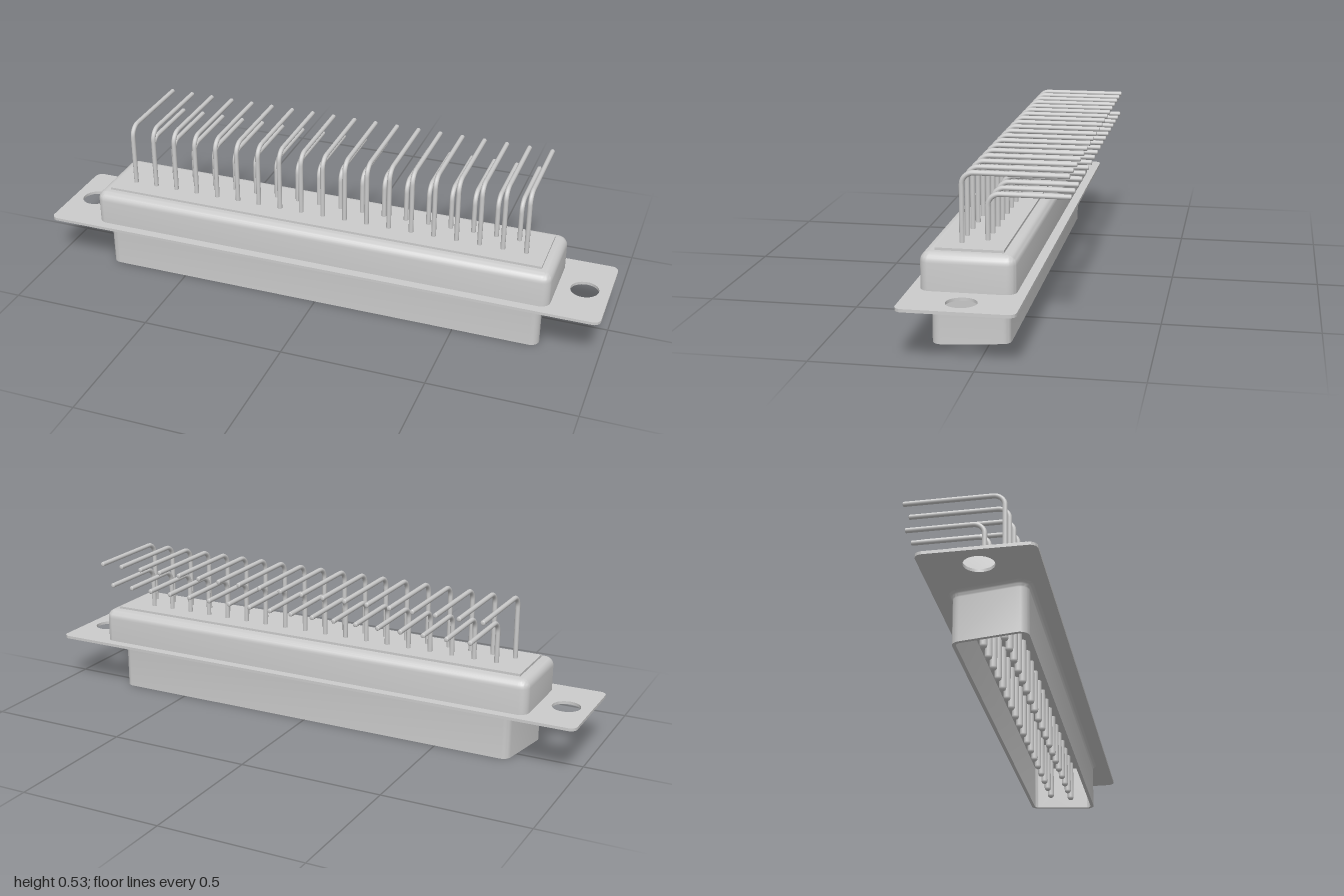
import * as THREE from 'three';
import { toCreasedNormals, mergeGeometries } from 'three/addons/utils/BufferGeometryUtils.js';

const material = new THREE.MeshStandardMaterial({ color: 0xcccccc });
const MID_Z = 0.057; // centre line of flange, shell and body

// Rounded four-sided outline, optionally narrowing to the back by `slant`; offset grows or shrinks it
function outline(halfX, halfZ, r, slant, offset) {
  const cx = halfX - r, cz = halfZ - r, bx = cx - Math.tan(slant) * 2 * cz, q = Math.PI / 2;
  const corners = [
    [cx, cz, -slant, q], [-cx, cz, q, 2 * q + slant],
    [-bx, -cz, 2 * q + slant, 3 * q], [bx, -cz, 3 * q, 4 * q - slant],
  ];
  const points = [], steps = 8;
  for (const [x, z, a0, a1] of corners) {
    for (let i = 0; i <= steps; i++) {
      const a = a0 + (a1 - a0) * i / steps;
      points.push([x + (r + offset) * Math.cos(a), z + (r + offset) * Math.sin(a)]);
    }
  }
  return points;
}

// Sweep a profile of [offset, y] steps around an outline
function loft({ halfX, halfZ, r, slant = 0 }, profile, capStart, capEnd) {
  const positions = [], index = [];
  const n = outline(halfX, halfZ, r, slant, 0).length;
  for (const [offset, y] of profile) {
    for (const [x, z] of outline(halfX, halfZ, r, slant, offset)) positions.push(x, y, z + MID_Z);
  }
  for (let j = 0; j < profile.length - 1; j++) {
    for (let i = 0; i < n; i++) {
      const k = (i + 1) % n, a = j * n + i, b = j * n + k;
      index.push(a, a + n, b, b, a + n, b + n);
    }
  }
  const cap = (row, flip) => {
    const centre = positions.length / 3;
    positions.push(0, profile[row][1], MID_Z);
    for (let i = 0; i < n; i++) {
      const a = row * n + i, b = row * n + (i + 1) % n;
      index.push(centre, flip ? b : a, flip ? a : b);
    }
  };
  if (capStart) cap(0, false);
  if (capEnd) cap(profile.length - 1, true);
  const g = new THREE.BufferGeometry();
  g.setAttribute('position', new THREE.Float32BufferAttribute(positions, 3));
  g.setIndex(index);
  return toCreasedNormals(g, 0.6);
}

// Quarter-round steps of a profile
function arc(cOffset, cy, r, a0, a1, steps = 6) {
  return Array.from({ length: steps + 1 }, (_, i) => {
    const a = a0 + (a1 - a0) * i / steps;
    return [cOffset + r * Math.cos(a), cy + r * Math.sin(a)];
  });
}

function flangeGeometry() {
  const w = 1, d = 0.18, r = 0.025;
  const s = new THREE.Shape();
  s.absarc(w - r, d - r, r, 0, Math.PI / 2);
  s.absarc(-w + r, d - r, r, Math.PI / 2, Math.PI);
  s.absarc(-w + r, -d + r, r, Math.PI, Math.PI * 1.5);
  s.absarc(w - r, -d + r, r, Math.PI * 1.5, Math.PI * 2);
  for (const x of [-0.915, 0.915]) {
    const hole = new THREE.Path();
    hole.absarc(x, -0.004, 0.048, 0, Math.PI * 2, true);
    s.holes.push(hole);
  }
  const g = new THREE.ExtrudeGeometry(s, { depth: 0.01, bevelEnabled: false, curveSegments: 16 });
  g.rotateX(Math.PI / 2).translate(0, 0.178, MID_Z);
  return toCreasedNormals(g, 0.6);
}

// Bent tail above the body: up, round the bend, then straight to the back
function tailGeometry(z, top) {
  const r = 0.0082, bend = 0.038, endZ = -0.234;
  const V = (y, zz) => new THREE.Vector3(0, y, zz);
  const k = bend * 0.4477;
  const path = new THREE.CurvePath();
  path.add(new THREE.LineCurve3(V(0.29, z), V(top - bend, z)));
  path.add(new THREE.CubicBezierCurve3(V(top - bend, z), V(top - k, z), V(top, z - k), V(top, z - bend)));
  path.add(new THREE.LineCurve3(V(top, z - bend), V(top, endZ)));
  const tip = new THREE.SphereGeometry(r, 10, 6).scale(1, 1, 0.35).translate(0, top, endZ);
  return mergeGeometries([new THREE.TubeGeometry(path, 64, r, 10), tip]);
}

// Straight contact with a domed tip inside the shell
function contactGeometry(z) {
  const r = 0.012, tip = 0.012;
  const profile = [];
  for (let i = 0; i <= 5; i++) {
    const a = i / 5 * Math.PI / 2;
    profile.push(new THREE.Vector2(r * Math.sin(a), tip + r * (1 - Math.cos(a))));
  }
  profile.push(new THREE.Vector2(r, 0.17));
  return new THREE.LatheGeometry(profile, 12).translate(0, 0, z);
}

export function createModel() {
  const model = new THREE.Group();
  const add = (name, geometry, parent = model) => {
    const mesh = new THREE.Mesh(geometry, material);
    mesh.name = name;
    parent.add(mesh);
    return mesh;
  };

  add('mountingFlange', flangeGeometry());

  // Hollow tapered shell, flaring into the flange
  const slant = THREE.MathUtils.degToRad(10);
  add('shell', loft({ halfX: 0.795, halfZ: 0.12, r: 0.03, slant }, [
    [-0.012, 0.165], [-0.012, 0], [0, 0],
    ...arc(0.02, 0.149, 0.02, Math.PI, Math.PI / 2),
  ], true, false));

  // Upper body with rounded top edge
  add('body', loft({ halfX: 0.825, halfZ: 0.148, r: 0.034 }, [
    [0, 0.177], ...arc(-0.03, 0.265, 0.03, 0, Math.PI / 2),
  ], false, true));

  // Raised insulator plate
  add('insulatorPlate', new THREE.BoxGeometry(1.57, 0.02, 0.212).translate(0, 0.293, MID_Z));

  // Two staggered rows of pins
  const rows = [
    { name: 'frontPins', count: 19, z: 0.093, top: 0.521 },
    { name: 'rearPins', count: 18, z: 0.021, top: 0.448 },
  ];
  for (const { name, count, z, top } of rows) {
    const row = new THREE.Group();
    row.name = name;
    const tail = tailGeometry(z, top), contact = contactGeometry(z);
    for (let i = 0; i < count; i++) {
      const x = (i - (count - 1) / 2) * 0.0797;
      add('pinTail', tail, row).position.x = x;
      add('pinContact', contact, row).position.x = x;
    }
    model.add(row);
  }
  return model;
}
